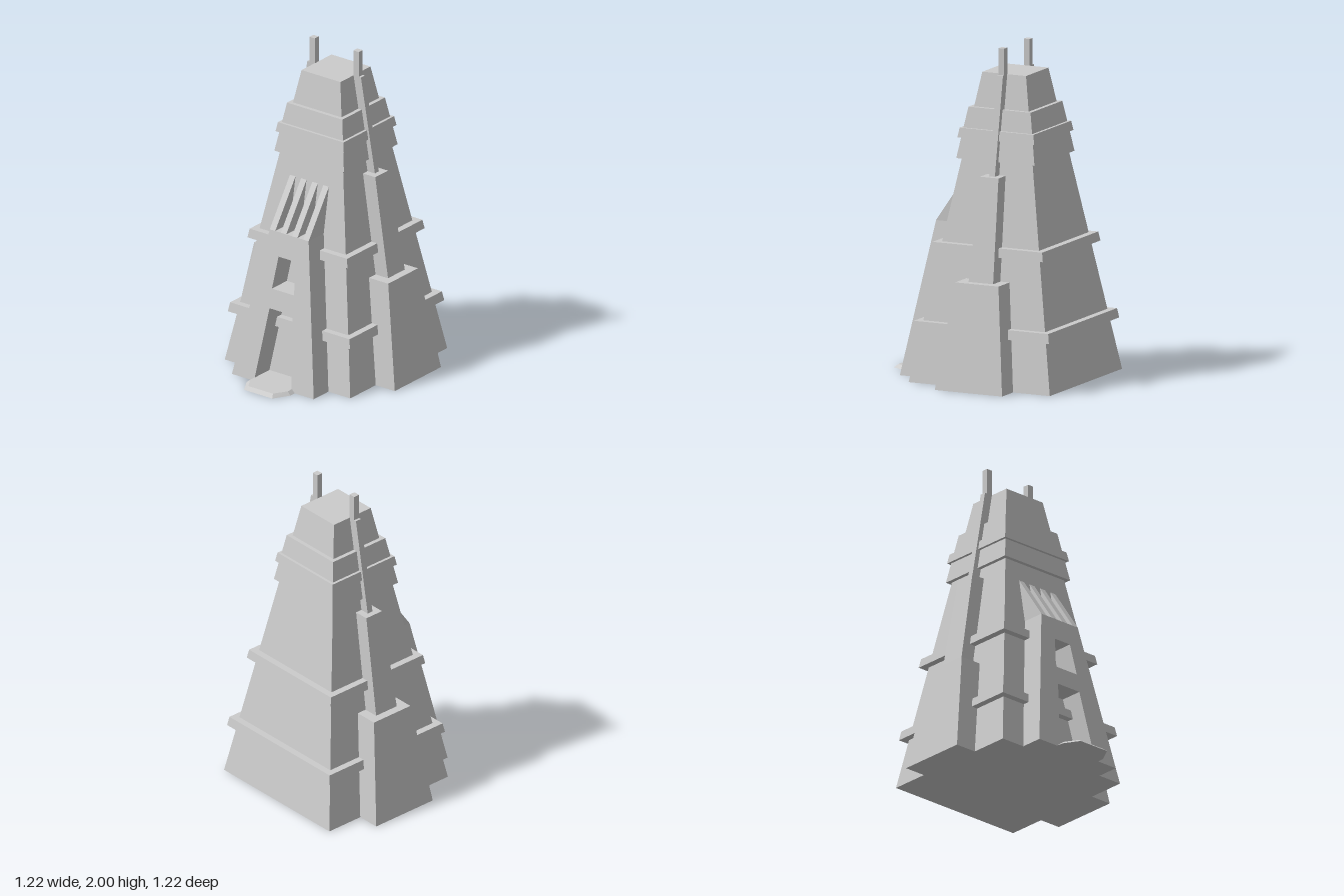
import * as THREE from 'three';

const material = new THREE.MeshStandardMaterial({ color: 0xcccccc, flatShading: true, side: THREE.DoubleSide });
const CZ = -0.142; // depth of the tower's axis
const HEIGHT = 1.84;
const bodyHalf = (y) => 0.468 + (0.145 - 0.468) * (y / HEIGHT);

// Solid between two rings of [x, z] points (anticlockwise from above)
function loft(name, y0, lower, y1, upper) {
  const b = lower.map(([x, z]) => [x, y0, z]);
  const t = upper.map(([x, z]) => [x, y1, z]);
  const pos = [];
  const tri = (...pts) => pts.forEach((p) => pos.push(...p));
  for (let i = 0; i < b.length; i++) {
    const j = (i + 1) % b.length;
    tri(b[i], b[j], t[j]);
    tri(b[i], t[j], t[i]);
    if (i > 0 && j > 0) {
      tri(t[0], t[i], t[j]);
      tri(b[0], b[j], b[i]);
    }
  }
  const geometry = new THREE.BufferGeometry();
  geometry.setAttribute('position', new THREE.Float32BufferAttribute(pos, 3));
  geometry.computeVertexNormals();
  const mesh = new THREE.Mesh(geometry, material);
  mesh.name = name;
  return mesh;
}

const rect = (xa, xb, z0, z1) => {
  const x0 = Math.min(xa, xb), x1 = Math.max(xa, xb);
  return [[x1, z1], [x1, z0], [x0, z0], [x0, z1]];
};
const square = (h) => rect(-h, h, CZ - h, CZ + h);

// Tapered ring that stands proud of the tower by a constant amount
const collar = (name, y0, y1, out) =>
  loft(name, y0, square(bodyHalf(y0) + out), y1, square(bodyHalf(y1) + out));

// Front buttress: pierced outline, its face leaning back with height
function entranceButtress() {
  const shape = new THREE.Shape([
    [-0.305, 0], [-0.14, 0], [-0.085, 0.455], [0.085, 0.455], [0.14, 0],
    [0.305, 0], [0.145, 0.92], [-0.145, 0.92],
  ].map(([x, y]) => new THREE.Vector2(x, y)));
  shape.holes.push(new THREE.Path([
    [-0.083, 0.575], [-0.06, 0.775], [0.06, 0.775], [0.083, 0.575],
  ].map(([x, y]) => new THREE.Vector2(x, y))));
  const geometry = new THREE.ExtrudeGeometry(shape, { depth: 1, bevelEnabled: false });
  const p = geometry.attributes.position;
  for (let i = 0; i < p.count; i++) {
    p.setZ(i, p.getZ(i) > 0.5 ? 0.468 - 0.172 * p.getY(i) : 0.1);
  }
  geometry.computeVertexNormals();
  const mesh = new THREE.Mesh(geometry, material);
  mesh.name = 'entranceButtress';
  return mesh;
}

export function createModel() {
  const model = new THREE.Group();
  model.name = 'tower';

  // Tower shaft and its bands
  model.add(
    loft('shaft', 0, square(bodyHalf(0)), HEIGHT, square(bodyHalf(HEIGHT))),
    collar('lowerBand', 0.31, 0.367, 0.042),
    collar('middleBand', 0.78, 0.835, 0.042),
    collar('upperCollar', 1.33, 1.635, 0.025),
    collar('upperBand', 1.455, 1.512, 0.042),
  );

  // Stepped side buttresses, each ending in a thin fin and a spire
  for (const [side, s] of [['left', 1], ['right', -1]]) {
    const group = new THREE.Group();
    group.name = side + 'Buttress';
    group.add(
      loft('lowerStage', 0, rect(0.2 * s, 0.61 * s, -0.366, 0.08),
        0.635, rect(0.2 * s, 0.5 * s, -0.286, 0.001)),
      loft('middleStage', 0.6, rect(0.15 * s, 0.456 * s, -0.226, -0.061),
        1.25, rect(0.15 * s, 0.34 * s, -0.204, -0.081)),
      loft('fin', 1.2, rect(0.1 * s, 0.313 * s, -0.162, -0.124),
        HEIGHT, rect(0.143 * s, 0.2 * s, -0.162, -0.124)),
      loft('spire', HEIGHT, rect(0.144 * s, 0.184 * s, -0.162, -0.124),
        2, rect(0.144 * s, 0.184 * s, -0.162, -0.124)),
    );
    model.add(group);
  }

  // Entrance with four sloping fins above it
  model.add(entranceButtress());
  for (const [x0, x1] of [[0.104, 0.145], [0.022, 0.062]]) {
    for (const s of [1, -1]) {
      model.add(loft('slopingFin', 0.92, rect(x0 * s, x1 * s, 0.05, 0.31),
        1.205, rect(x0 * s, x1 * s, 0.05, 0.114)));
    }
  }

  // Low bevelled doorstep running into the doorway
  const step = (pts) => [...pts, ...pts.slice().reverse().map(([x, z]) => [-x, z])];
  model.add(loft('doorstep',
    0, step([[0.105, 0.61], [0.163, 0.51], [0.163, 0.45], [0.163, 0.3]]),
    0.02, step([[0.092, 0.586], [0.14, 0.505], [0.14, 0.45], [0.14, 0.3]])));

  return model;
}
